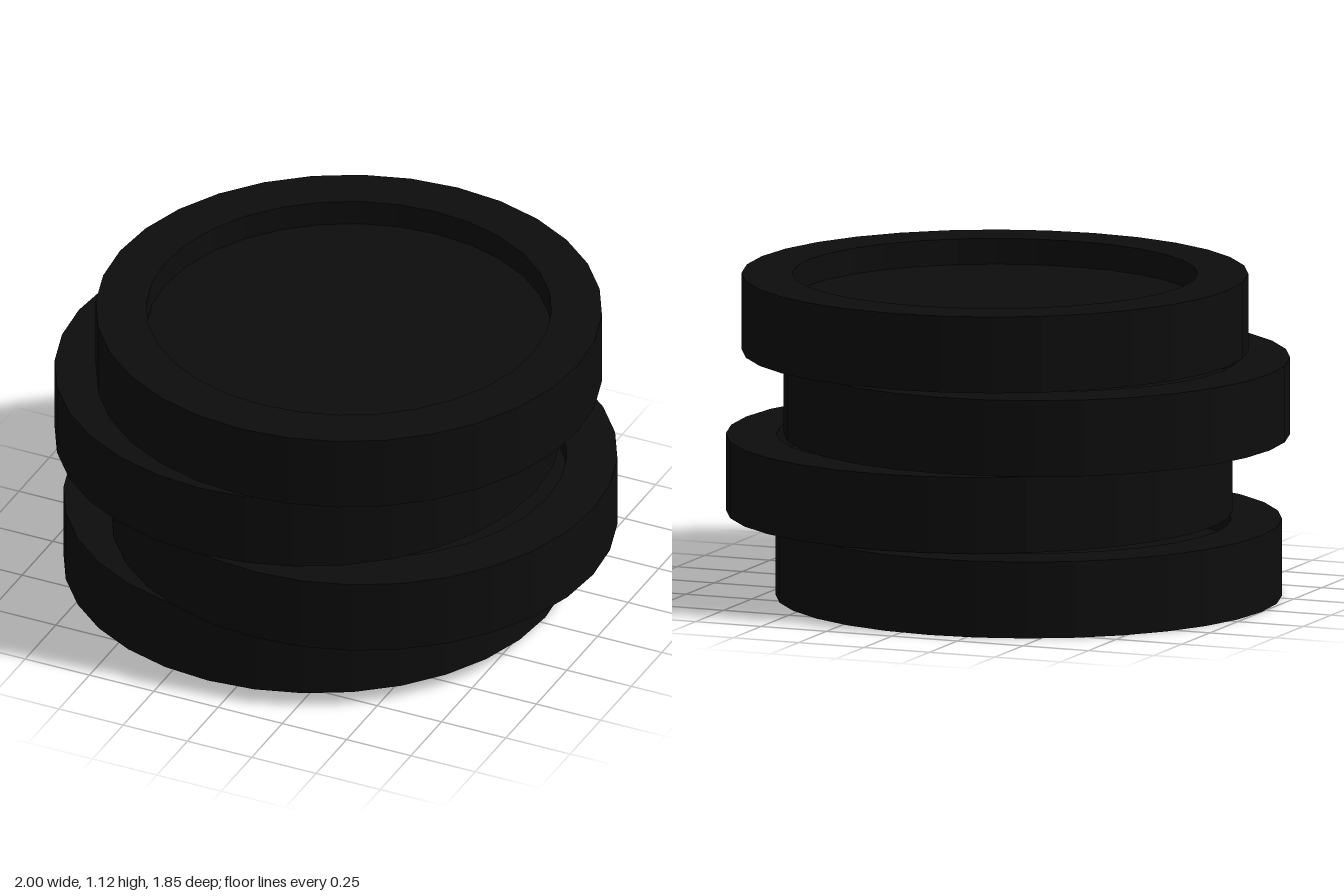
import * as THREE from 'three';

const RADIUS = 0.89, RECESS_RADIUS = 0.712, HEIGHT = 0.272, DEPTH = 0.092;

export function createModel() {
  const group = new THREE.Group();
  group.name = 'checkerStack';

  const black = new THREE.MeshStandardMaterial({ color: 0x0d0d0d, flatShading: true });
  black.name = 'black';

  // One disc: raised rim around a shallow recess on both faces
  const profile = [
    [0, DEPTH], [RECESS_RADIUS, DEPTH], [RECESS_RADIUS, 0], [RADIUS, 0],
    [RADIUS, HEIGHT], [RECESS_RADIUS, HEIGHT], [RECESS_RADIUS, HEIGHT - DEPTH], [0, HEIGHT - DEPTH],
  ].map(([x, y]) => new THREE.Vector2(x, y));
  const disc = new THREE.LatheGeometry(profile, 32);

  // Loosely stacked pieces, bottom to top
  const pieces = [
    ['bottomPiece', -0.11, 0, -0.036],
    ['secondPiece', 0.11, 0.275, 0.036],
    ['thirdPiece', -0.11, 0.564, 0.036],
    ['topPiece', 0.05, 0.851, 0.036],
  ];
  for (const [name, x, y, z] of pieces) {
    const mesh = new THREE.Mesh(disc, black);
    mesh.name = name;
    mesh.position.set(x, y, z);
    group.add(mesh);
  }
  return group;
}
